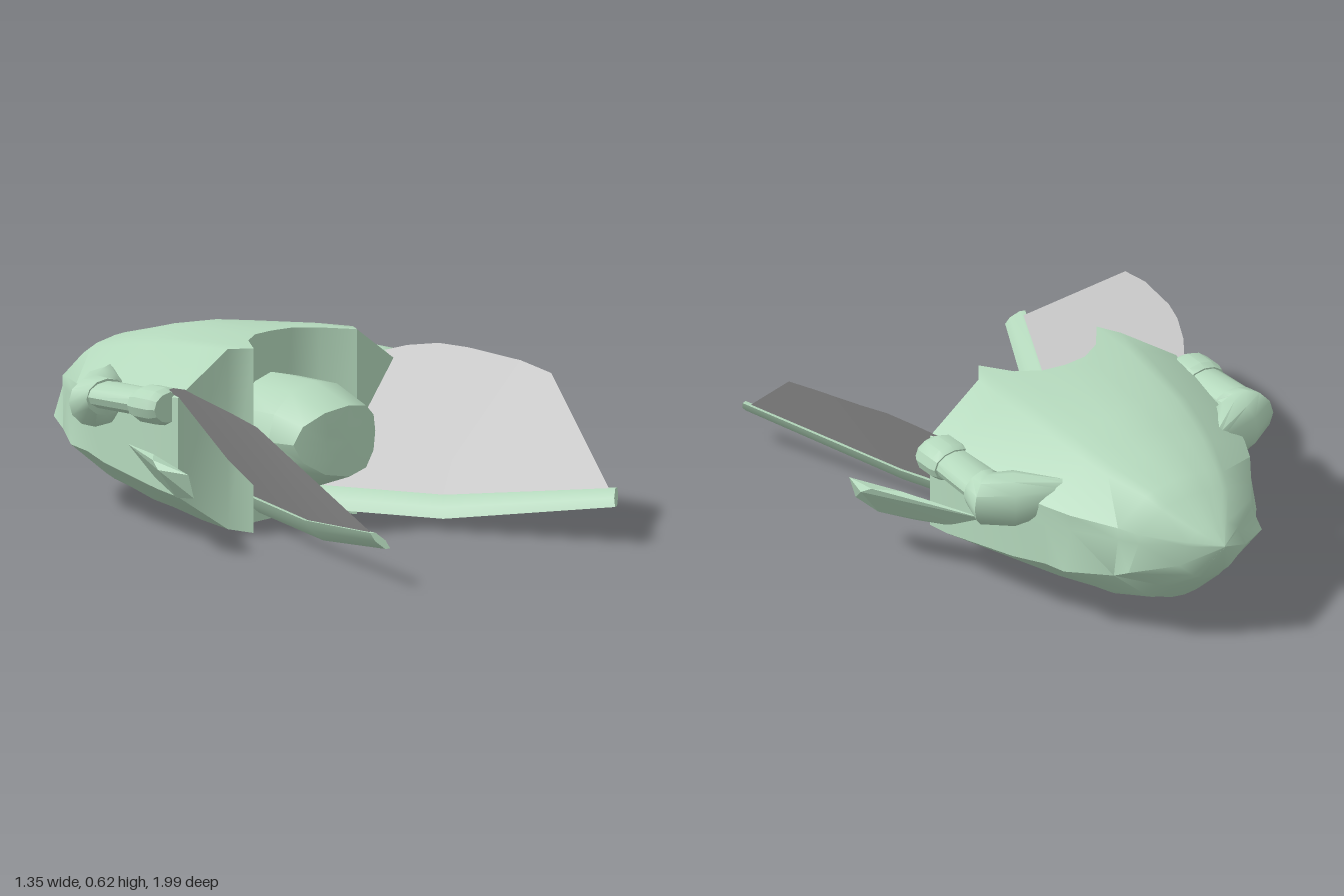
import * as THREE from 'three';
import { toCreasedNormals } from 'three/addons/utils/BufferGeometryUtils.js';
import { ConvexGeometry } from 'three/addons/geometries/ConvexGeometry.js';

// Surface through rows of points; rows run back to front, points anticlockwise seen from the front
function skin(rows, closed, crease = 0.6) {
  const n = rows[0].length, index = [];
  for (let i = 0; i < rows.length - 1; i++) {
    for (let j = 0; j < (closed ? n : n - 1); j++) {
      const k = (j + 1) % n, a = i * n + j, b = i * n + k;
      index.push(a, b, b + n, a, b + n, a + n);
    }
  }
  const g = new THREE.BufferGeometry();
  g.setAttribute('position', new THREE.Float32BufferAttribute(rows.flat(2), 3));
  g.setIndex(index);
  return toCreasedNormals(g, crease);
}

// Upright ellipse ring, turned about y by yaw (degrees); lean tips its top outward and back
function ring(x, y, z, rx, ry, yaw = 0, sides = 12, lean = 0) {
  const a = THREE.MathUtils.degToRad(yaw);
  return Array.from({ length: sides }, (_, i) => {
    const t = (i / sides) * Math.PI * 2, u = Math.cos(t) * rx, v = Math.sin(t) * ry;
    return [x + u * Math.cos(a) + v * lean, y + v, z - u * Math.sin(a) - v * lean];
  });
}

// Tube through rings, closed at both ends
const tube = (rings, sides, crease, lean) => {
  const first = rings[0], last = rings[rings.length - 1];
  return skin([
    ring(first[0], first[1], first[2], 0, 0, 0, sides),
    ...rings.map((r) => ring(r[0], r[1], r[2], r[3], r[4], r[5] || 0, sides, lean)),
    ring(last[0], last[1], last[2], 0, 0, 0, sides),
  ], true, crease);
};

// Hull cross-section: share of half width, share of half height, front edge z, drop where the hull is rounder
const UPPER = [
  [0, 1, -0.09, 0], [0.17, 1, -0.08, 0.02], [0.33, 0.99, -0.03, 0.06],
  [0.48, 0.985, 0.07, 0.1], [0.58, 0.96, 0, 0.15], [1, 0.43, -0.02, 0.15],
];
const MID = 0.36;

function hullRing(z, w, top, bottom, flare, round) {
  const at = (zf) => (z === null ? zf : z);
  const half = [
    ...UPPER.map(([x, y, f, drop]) => [x * w, MID + (y - drop * round) * (top - MID), at(f)]),
    [w, MID, at(-0.02)],
    ...UPPER.map(([x, y, f, drop], i) =>
      [x * w * flare, MID - ((i === 5 ? 0.6 : y) - drop * round) * (MID - bottom), at(f)]).reverse(),
  ];
  const left = half.map(([x, y, f]) => [-x, y, f]);
  return [...left, ...half.slice(1, -1).reverse()];
}

function createModel() {
  const green = new THREE.MeshStandardMaterial({ color: 0xb4d8bc });
  green.name = 'pale green hull';
  const grey = new THREE.MeshStandardMaterial({ color: 0xc0c0c0, side: THREE.DoubleSide });
  grey.name = 'grey membrane';

  const model = new THREE.Group();
  model.name = 'ship';
  const add = (parent, name, geometry, material = green) => {
    const mesh = new THREE.Mesh(geometry, material);
    mesh.name = name;
    parent.add(mesh);
  };

  // Hull, tapering to a point at the back
  add(model, 'hull', skin([
    hullRing(-1, 0, 0.36, 0.355, 1, 1),
    hullRing(-0.93, 0.1, 0.408, 0.22, 1.3, 1),
    hullRing(-0.83, 0.22, 0.477, 0.15, 1.18, 1),
    hullRing(-0.77, 0.26, 0.513, 0.08, 1.06, 1),
    hullRing(-0.63, 0.35, 0.55, 0.04, 1.07, 1),
    hullRing(-0.54, 0.39, 0.575, 0.022, 0.99, 1),
    hullRing(-0.42, 0.43, 0.6, 0.005, 1, 0.9),
    hullRing(-0.12, 0.48, 0.615, 0, 1, 0.25),
    hullRing(null, 0.48, 0.615, 0, 1, 0),
  ], true, 0.85));

  // Hollowed front wall between the top and bottom edges
  const edge = (low) => {
    const right = UPPER.map(([x, y, f], i) =>
      [x * 0.48, low ? MID - (i === 5 ? 0.6 : y) * MID : MID + y * 0.255, f]);
    return [...right.slice(1).reverse().map(([x, y, f]) => [-x, y, f]), ...right];
  };
  add(model, 'frontWall', skin([edge(true), edge(false)], false, 1));

  // Cockpit drum with a bowed front
  const bowed = (rx, ry) => ring(0, 0.305, 0.205, rx, ry)
    .map(([x, y, z]) => [x, y, z + 0.07 * (1 - (x / 0.182) ** 2)]);
  add(model, 'cockpit', skin([
    ring(0, 0.305, -0.12, 0.205, 0.175),
    ring(0, 0.305, 0.11, 0.205, 0.175),
    bowed(0.182, 0.117),
    bowed(0.09, 0.058),
    ring(0, 0.305, 0.275, 0, 0),
  ], true, 0.6));

  // Everything that comes in pairs, built on the left and mirrored
  const makeSide = () => {
    const side = new THREE.Group();

    // Wing arm
    add(side, 'wingArm', tube([
      [0.095, 0.067, -0.08, 0.018, 0.038, 20],
      [0.285, 0.072, 0.42, 0.018, 0.038, 22],
      [0.525, 0.148, 0.968, 0.018, 0.03, 25],
    ], 6, 0.8, 0.65));

    // Wing membrane rising from the arm
    const onArm = (z) => {
      const t = z < 0.42 ? (z + 0.08) / 0.5 : (z - 0.42) / 0.54;
      return z < 0.42 ? [0.1 + 0.19 * t, 0.08, z] : [0.29 + 0.24 * t, 0.08 + 0.078 * t, z];
    };
    const outer = [[0.53, 0.17, 0.93], [0.655, 0.475, 0.53], [0.643, 0.5, 0.4], [0.6, 0.52, 0.2],
      [0.565, 0.525, 0.1], [0.52, 0.51, 0], [0.47, 0.485, -0.08]];
    const inner = [0.93, 0.6, 0.42, 0.25, 0.12, 0.02, -0.08].map(onArm);
    add(side, 'wingMembrane', skin([inner, outer], false, 0.6), grey);

    // Side fin
    add(side, 'sideFin', new ConvexGeometry([
      [0.675, 0.275, 0.09], [0.66, 0.3, 0.05], [0.645, 0.27, 0.2], [0.62, 0.19, 0.2], [0.6, 0.175, 0.1],
      [0.53, 0.17, 0], [0.59, 0.3, -0.02], [0.44, 0.275, -0.3], [0.43, 0.2, -0.22], [0.44, 0.2, 0],
    ].map((p) => new THREE.Vector3(...p))));

    // Engine: shoulder, barrel and collar
    add(side, 'engineShoulder', tube([
      [0.3, 0.43, -0.525, 0.02, 0.055, 60],
      [0.43, 0.41, -0.425, 0.085, 0.092, 60],
      [0.505, 0.412, -0.38, 0.088, 0.085, 30],
      [0.495, 0.43, -0.335, 0.08, 0.06, 10],
    ], 12, 0.8));
    add(side, 'engineBarrel', tube([[0.495, 0.437, -0.36, 0.074, 0.045], [0.485, 0.437, -0.12, 0.07, 0.045]], 12));
    add(side, 'engineCollar', tube([
      [0.487, 0.435, -0.17, 0.078, 0.052], [0.487, 0.435, -0.145, 0.084, 0.062],
      [0.487, 0.435, -0.075, 0.084, 0.062], [0.487, 0.435, -0.05, 0.07, 0.05],
    ], 12, 0.5));
    return side;
  };
  const left = makeSide(), right = makeSide();
  left.name = 'leftSide';
  right.name = 'rightSide';
  right.scale.x = -1;
  model.add(left, right);
  return model;
}

export { createModel };
